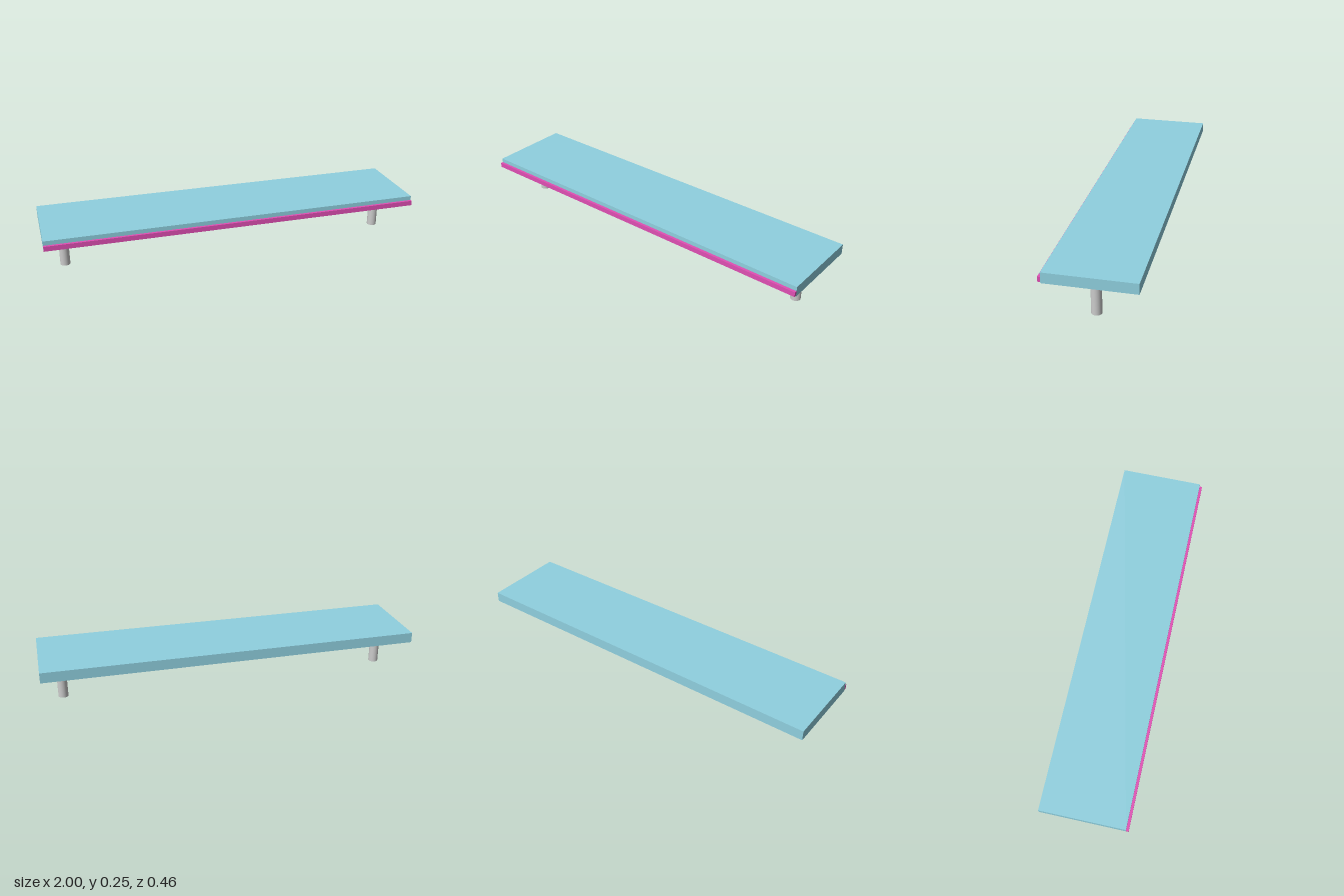
import * as THREE from 'three';

const LENGTH = 2;
const POST_X = 0.889;
const CENTRE_Z = -0.006;

function material(color) {
  return new THREE.MeshStandardMaterial({ color });
}

// Box spanning the full length, given its y and z ranges
function board(name, y0, y1, z0, z1, color) {
  const mesh = new THREE.Mesh(new THREE.BoxGeometry(LENGTH, y1 - y0, z1 - z0), material(color));
  mesh.position.set(0, (y0 + y1) / 2, (z0 + z1) / 2);
  mesh.name = name;
  return mesh;
}

export function createModel() {
  const model = new THREE.Group();
  model.name = 'bench';

  // Seat slab and the coloured strip along its front edge
  model.add(board('seat', 0.196, 0.251, -0.229, 0.217, 0x8fd0df));
  model.add(board('frontStrip', 0.202, 0.228, 0.217, 0.231, 0xe04fb4));

  // One round post near each end
  const postHeight = 0.196;
  const postGeometry = new THREE.CylinderGeometry(0.026, 0.026, postHeight, 32);
  for (const side of [-1, 1]) {
    const post = new THREE.Mesh(postGeometry, material(0xcccccc));
    post.position.set(side * POST_X, postHeight / 2, CENTRE_Z);
    post.name = side > 0 ? 'leftPost' : 'rightPost';
    model.add(post);
  }

  return model;
}
